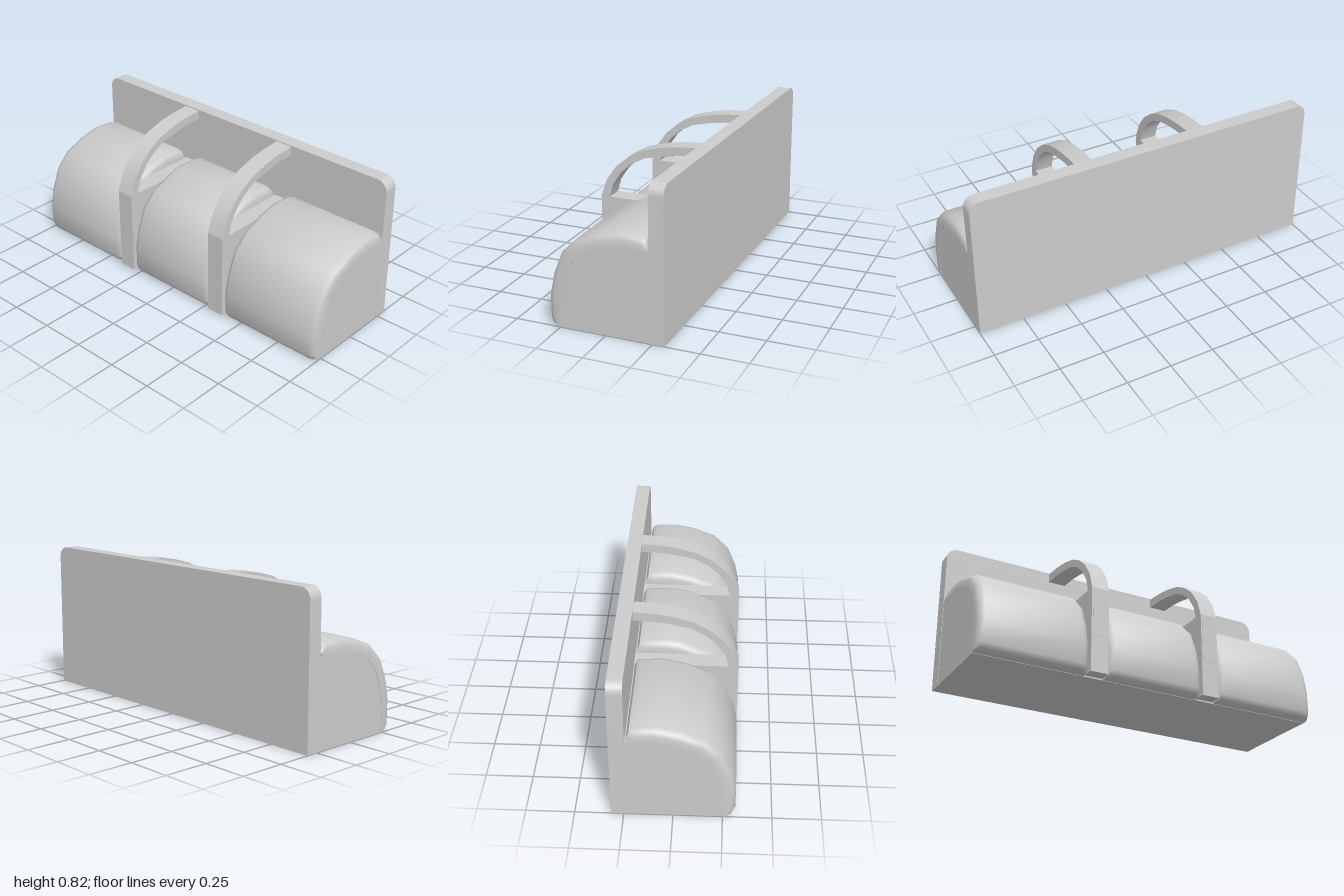
import * as THREE from 'three';
import { toCreasedNormals } from 'three/addons/utils/BufferGeometryUtils.js';

// Side profiles are [z, y] points, running from the floor at the front to the back
const innerCurve = [
  [0.245, 0.15], [0.225, 0.25], [0.185, 0.345], [0.12, 0.415], [0.015, 0.455], [-0.085, 0.475],
];
const outerCurve = [
  [0.315, 0.165], [0.295, 0.27], [0.245, 0.395], [0.165, 0.475], [0.04, 0.525], [-0.08, 0.55],
];
const archOuter = [
  [0.315, 0.485], [0.282, 0.58], [0.225, 0.66], [0.155, 0.72], [0.075, 0.763],
  [-0.03, 0.793], [-0.125, 0.808], [-0.235, 0.816],
];
const archInner = [
  [-0.235, 0.766], [-0.125, 0.76], [-0.04, 0.747], [0.06, 0.725],
  [0.135, 0.685], [0.195, 0.632], [0.243, 0.56], [0.265, 0.485],
];

// Extrude a side profile along x, centred
function sideExtrude(points, width) {
  const shape = new THREE.Shape(points.map(([z, y]) => new THREE.Vector2(z, y)));
  const geo = new THREE.ExtrudeGeometry(shape, { depth: width, bevelEnabled: false });
  geo.translate(0, 0, -width / 2);
  geo.rotateY(-Math.PI / 2);
  return toCreasedNormals(geo, 0.6);
}

// Curved pad lofted through rounded cross-sections
function cushionGeometry(width, outer) {
  const w = width / 2;
  const inner = [[0.245, 0.002], [0.245, 0.012], [0.245, 0.04], ...innerCurve,
    [-0.185, 0.475], [-0.213, 0.475], [-0.226, 0.475]];
  const crown = [[0.275, 0.002], [0.3, 0.012], [0.314, 0.04], ...outer,
    [-0.185, 0.545], [-0.213, 0.535], [-0.226, 0.505]];
  const half = [[-w, 0], [-w, 0.55], [-w + 0.01, 0.84], [-w + 0.035, 1]];
  const section = [...half, ...half.map(([x, t]) => [-x, t]).reverse()];
  const n = section.length;
  const pos = [];
  const idx = [];
  inner.forEach(([z0, y0], i) => {
    const [z1, y1] = crown[i];
    for (const [x, t] of section) pos.push(x, y0 + (y1 - y0) * t, z0 + (z1 - z0) * t);
  });
  const last = (inner.length - 1) * n;
  for (let a = 0; a < last; a += n) {
    for (let j = 0; j < n; j++) {
      const k = (j + 1) % n;
      idx.push(a + j, a + k, a + n + k, a + j, a + n + k, a + n + j);
    }
  }
  for (let j = 1; j < n - 1; j++) idx.push(0, j + 1, j, last, last + j, last + j + 1);
  const geo = new THREE.BufferGeometry();
  geo.setAttribute('position', new THREE.Float32BufferAttribute(pos, 3));
  geo.setIndex(idx);
  return toCreasedNormals(geo, 0.8);
}

export function createModel() {
  const group = new THREE.Group();
  const grey = new THREE.MeshStandardMaterial({ name: 'light grey', color: 0xcccccc });

  function add(name, geo, x = 0, y = 0, z = 0) {
    const mesh = new THREE.Mesh(geo, grey);
    mesh.name = name;
    mesh.position.set(x, y, z);
    group.add(mesh);
  }

  // Back panel with rounded top corners
  const top = 0.822;
  const r = 0.06;
  const panel = new THREE.Shape();
  panel.moveTo(-1, 0);
  panel.lineTo(1, 0);
  panel.lineTo(1, top - r);
  panel.absarc(1 - r, top - r, r, 0, Math.PI / 2);
  panel.lineTo(-1 + r, top);
  panel.absarc(-1 + r, top - r, r, Math.PI / 2, Math.PI);
  const panelGeo = new THREE.ExtrudeGeometry(panel, { depth: 0.08, bevelEnabled: false, curveSegments: 8 });
  add('backPanel', toCreasedNormals(panelGeo, 0.6), 0, 0, -0.315);

  // Solid base under the cushions
  add('seatBase', sideExtrude([[-0.24, 0], [0.245, 0], ...innerCurve, [-0.24, 0.475]], 1.996));

  // Cushions
  const middleCurve = outerCurve.map((p, i) => (i === 4 ? [-0.01, 0.545] : p));
  const sideCushion = cushionGeometry(0.608, outerCurve);
  add('leftCushion', sideCushion, 0.696);
  add('middleCushion', cushionGeometry(0.56, middleCurve));
  add('rightCushion', sideCushion, -0.696);

  // Dividers with arched armrests and front plates
  const divider = new THREE.BoxGeometry(0.1, 0.478, 0.55);
  const arch = sideExtrude([...archOuter, ...archInner], 0.1);
  const plate = new THREE.BoxGeometry(0.084, 0.275, 0.006);
  for (const [side, s] of [['left', 1], ['right', -1]]) {
    add(side + 'Divider', divider, s * 0.335, 0.247, 0.039);
    add(side + 'ArmArch', arch, s * 0.335);
    add(side + 'ArmPlate', plate, s * 0.335, 0.3475, 0.3125);
  }
  return group;
}
